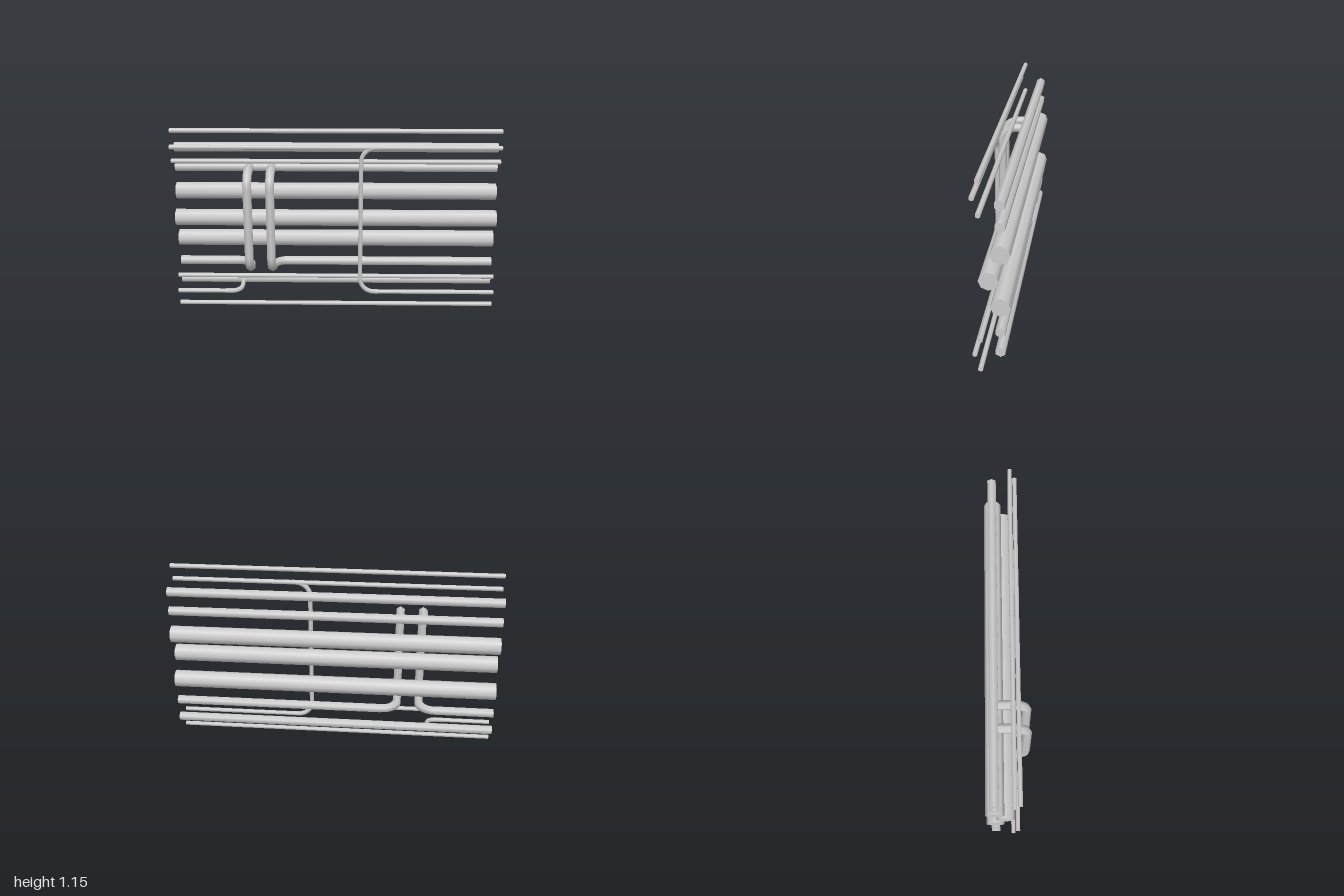
import * as THREE from 'three';

const material = new THREE.MeshStandardMaterial({ color: 0xcccccc });
const V = (p) => new THREE.Vector3(...p);

// Straight pipe along x with a corner of its polygon pointing up
function straightPipe(name, y, z, radius, sides, x0 = -1, x1 = 1) {
  const g = new THREE.CylinderGeometry(radius, radius, x1 - x0, sides, 1, false, Math.PI / 2);
  g.rotateZ(Math.PI / 2);
  g.translate((x0 + x1) / 2, y, z);
  const mesh = new THREE.Mesh(g, material);
  mesh.name = name;
  return mesh;
}

// Pipe through corner points, each inner corner rounded by the bend size
function bentPipe(name, corners, bend, radius, sides) {
  const pts = corners.map(V);
  const path = new THREE.CurvePath();
  const line = (a, b) => {
    if (a.distanceTo(b) > 1e-4) path.add(new THREE.LineCurve3(a, b));
  };
  let last = pts[0];
  for (let i = 1; i < pts.length - 1; i++) {
    const p = pts[i];
    const toward = (q, d) => p.clone().add(q.clone().sub(p).setLength(d));
    const start = toward(pts[i - 1], bend);
    const end = toward(pts[i + 1], bend);
    line(last, start);
    path.add(new THREE.CubicBezierCurve3(start, toward(pts[i - 1], bend * 0.448), toward(pts[i + 1], bend * 0.448), end));
    last = end;
  }
  line(last, pts[pts.length - 1]);
  const mesh = new THREE.Mesh(new THREE.TubeGeometry(path, 72, radius, sides), material);
  mesh.name = name;
  return mesh;
}

export function createModel() {
  const model = new THREE.Group();
  model.name = 'pipeRack';

  // Three thick main pipes
  for (const [y, z] of [[0.737, -0.08], [0.58, -0.018], [0.425, -0.08]]) {
    model.add(straightPipe('mainPipe', y, z, 0.054, 8));
  }

  // Medium pipes
  for (const y of [1.018, 0.893, 0.143]) {
    model.add(straightPipe('mediumPipe', y, -0.08, 0.03, 6));
  }

  // Thin conduits
  for (const y of [1.143, 0.955, 0.207, 0.018]) {
    model.add(straightPipe('conduit', y, 0.03, 0.015, 6));
  }

  // Two loops dropping from the upper medium pipe, turning outward into the lower runs
  for (const [x, side] of [[-0.535, -1], [-0.397, 1]]) {
    const elbowEnd = x + side * 0.1;
    model.add(bentPipe('loopPipe', [
      [x, 0.893, -0.08], [x, 0.893, 0.11], [x, 0.268, 0.11],
      [x, 0.268, -0.08], [elbowEnd + side * 0.01, 0.268, -0.08],
    ], 0.095, 0.029, 6));
    model.add(straightPipe('lowerRun', 0.268, -0.08, 0.03, 6, Math.min(elbowEnd, side), Math.max(elbowEnd, side)));
  }

  // Front conduit with a vertical branch that returns along the bottom
  model.add(straightPipe('frontConduit', 1.048, 0.06, 0.015, 6));
  model.add(bentPipe('verticalBranch', [
    [0.27, 1.048, 0.06], [0.155, 1.048, 0.06], [0.155, 0.113, 0.06], [0.27, 0.113, 0.06],
  ], 0.09, 0.015, 6));
  model.add(straightPipe('lowerFrontConduit', 0.113, 0.06, 0.015, 6, 0.25, 1));

  // Short feed bending back into the lowest medium pipe
  model.add(straightPipe('feedConduit', 0.113, 0.06, 0.015, 6, -1, -0.68));
  model.add(bentPipe('feedElbow', [
    [-0.7, 0.113, 0.06], [-0.597, 0.113, 0.06], [-0.597, 0.143, -0.08],
  ], 0.06, 0.015, 6));

  return model;
}
